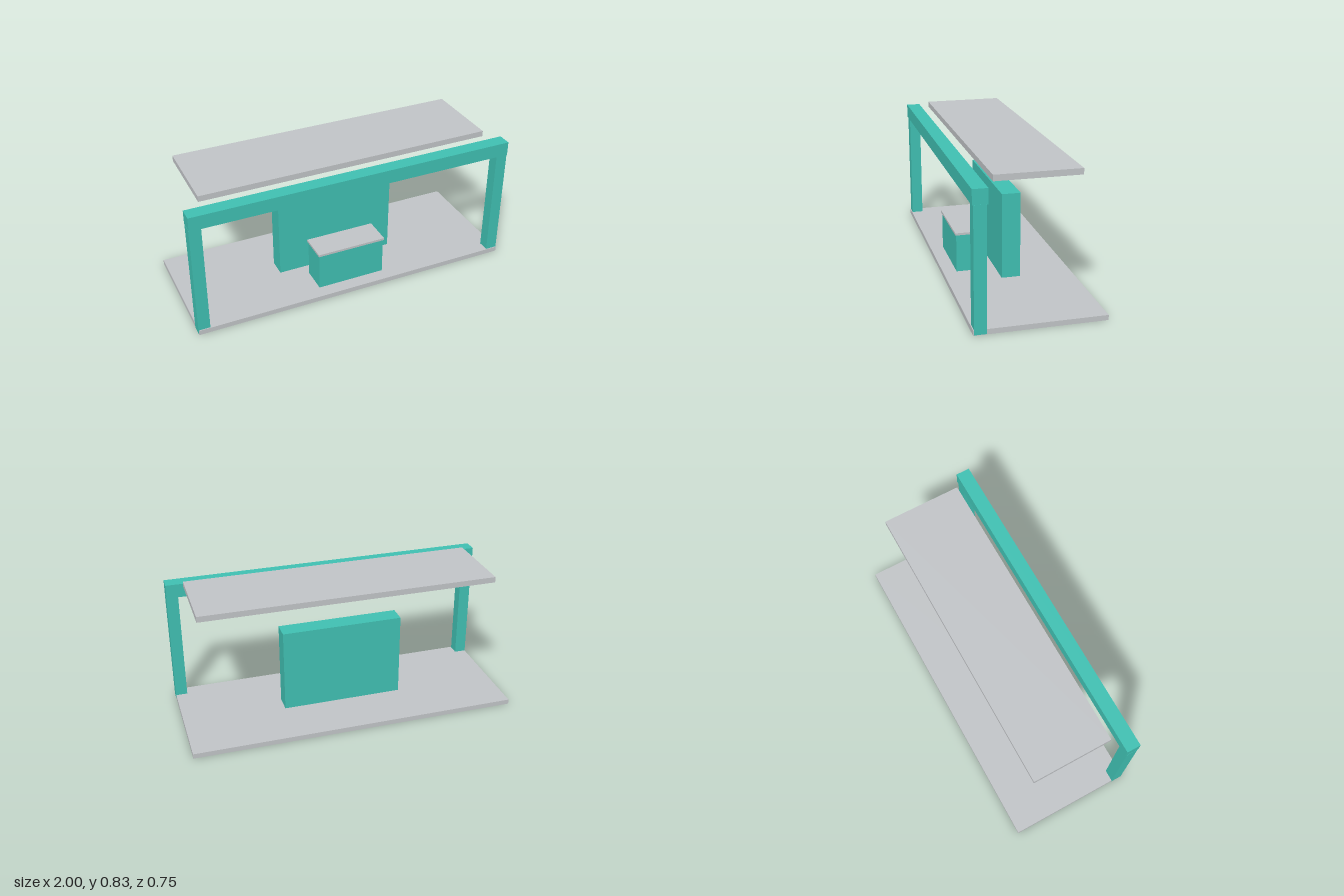
import * as THREE from 'three';

export function createModel() {
  const model = new THREE.Group();
  model.name = 'exhibitionBooth';

  const teal = new THREE.MeshStandardMaterial({ color: 0x40c0b2 });
  teal.name = 'teal';
  const grey = new THREE.MeshStandardMaterial({ color: 0xc1c4c7 });
  grey.name = 'light grey';

  // Box given by its extents along x, y and z
  const slab = (name, material, [x0, x1], [y0, y1], [z0, z1]) => {
    const mesh = new THREE.Mesh(new THREE.BoxGeometry(x1 - x0, y1 - y0, z1 - z0), material);
    mesh.position.set((x0 + x1) / 2, (y0 + y1) / 2, (z0 + z1) / 2);
    mesh.name = name;
    model.add(mesh);
    return mesh;
  };

  // Floor and canopy
  slab('floor', grey, [-1, 1], [0, 0.03], [-0.375, 0.375]);
  slab('canopy', grey, [-0.9, 0.9], [0.8, 0.835], [-0.245, 0.243]);

  // Front portal: posts run down the ends of the floor, just proud of it
  slab('leftPost', teal, [0.93, 1.001], [0.002, 0.716], [0.3, 0.37]);
  slab('rightPost', teal, [-1.001, -0.93], [0.002, 0.716], [0.3, 0.37]);
  slab('frontBeam', teal, [-1, 1], [0.715, 0.8], [0.291, 0.376]);

  // Display wall behind the counter
  slab('displayWall', teal, [-0.373, 0.373], [0.03, 0.55], [-0.057, 0.055]);

  // Counter with overhanging top
  slab('counterBody', teal, [-0.212, 0.212], [0.03, 0.262], [0.13, 0.293]);
  slab('counterTop', grey, [-0.217, 0.217], [0.262, 0.276], [0.121, 0.299]);

  return model;
}
